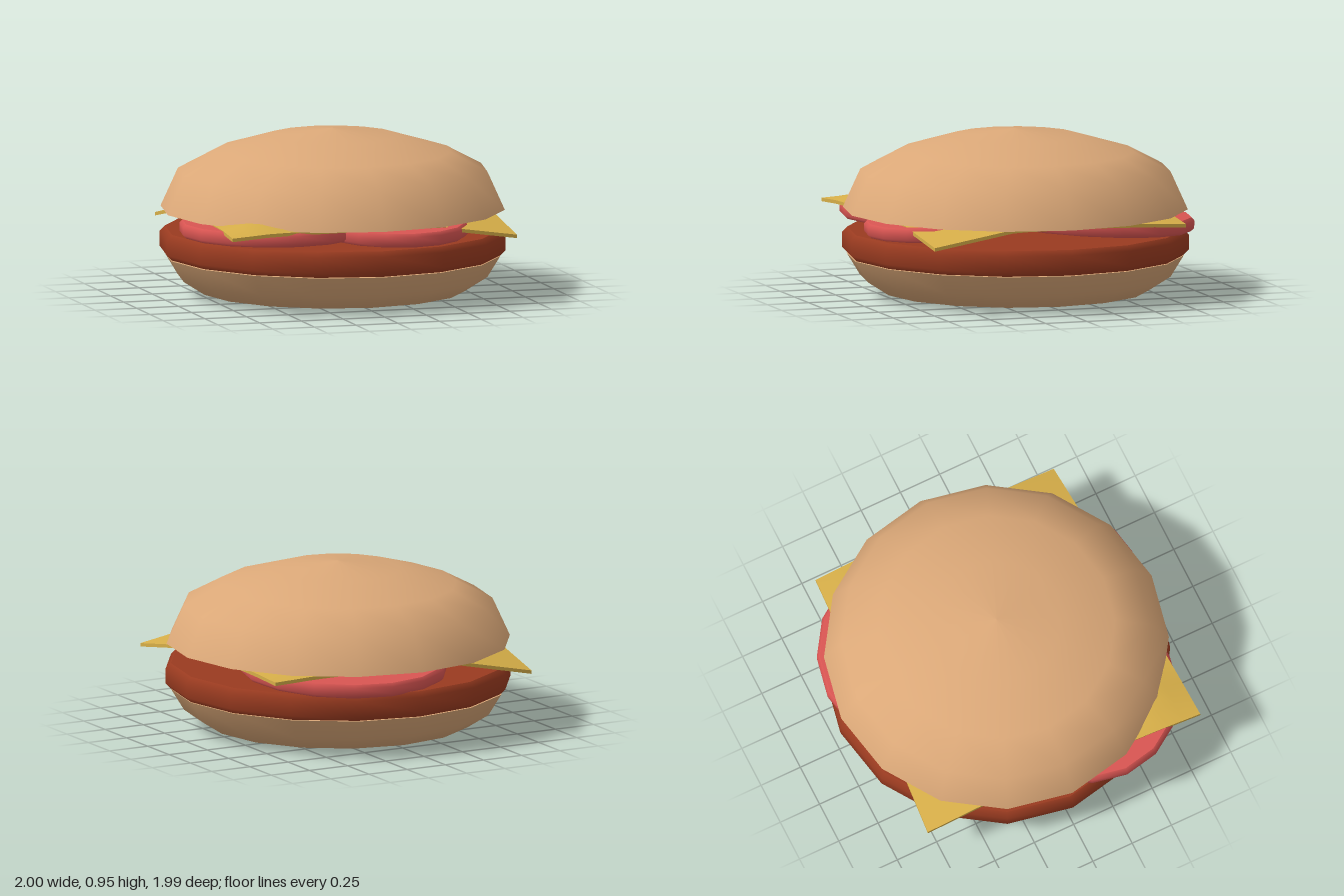
import * as THREE from 'three';
import { mergeGeometries } from 'three/addons/utils/BufferGeometryUtils.js';

const SIDES = 16;
const mat = (color, extra = {}) => new THREE.MeshStandardMaterial({ color, ...extra });
const bunMat = mat(0xdba878);
const pattyMat = mat(0x9a3b20);
const tomatoMat = mat(0xd95552);
const cheeseMat = mat(0xd6ae48);

function add(group, name, geometry, material, x = 0, y = 0, z = 0) {
  const mesh = new THREE.Mesh(geometry, material);
  mesh.name = name;
  mesh.position.set(x, y, z);
  group.add(mesh);
  return mesh;
}

// smooth turned shell, profile listed from bottom to top
const turned = (profile) =>
  new THREE.LatheGeometry(profile.map(([r, y]) => new THREE.Vector2(r, y)), SIDES);

// flat round lid facing up (dir = 1) or down (dir = -1)
function lid(radius, y, dir) {
  return new THREE.CircleGeometry(radius, SIDES).rotateX(-dir * Math.PI / 2).translate(0, y, 0);
}

// disc with bevelled rim
function disc(radius, height, bevel) {
  const h = height / 2, inner = radius - bevel;
  return mergeGeometries([
    turned([[inner, -h], [radius, -h + bevel], [radius, h - bevel], [inner, h]]),
    lid(inner, h, 1),
    lid(inner, -h, -1),
  ]);
}

// square sheet with soft drooping corners, built from a bent thin box
function cheeseGeometry() {
  // corners: position, droop at the tip, bulge just inside the tip
  const corners = [
    { u: -1, v: -1, x: -0.80, z: -0.83, drop: 0.11, bulge: 0 },
    { u: 1, v: -1, x: 0.83, z: -0.745, drop: 0.02, bulge: 0.025 },
    { u: 1, v: 1, x: 0.86, z: 0.785, drop: 0.085, bulge: 0 },
    { u: -1, v: 1, x: -0.87, z: 0.87, drop: 0.02, bulge: 0.055 },
  ];
  const geo = new THREE.BoxGeometry(2, 0.02, 2, 16, 1, 16);
  const p = geo.attributes.position;
  for (let i = 0; i < p.count; i++) {
    const u = p.getX(i), v = p.getZ(i);
    let x = 0, z = 0, y = p.getY(i);
    for (const c of corners) {
      const a = u * c.u, b = v * c.v;
      const weight = (1 + a) * (1 + b) / 4;
      x += weight * c.x;
      z += weight * c.z;
      y -= c.drop * Math.max(0, (a + b - 1.35) / 0.65);
      y += c.bulge * Math.exp(-((a - 0.72) ** 2 + (b - 0.72) ** 2) / 0.04);
    }
    p.setXYZ(i, x, y, z);
  }
  geo.computeVertexNormals();
  return geo;
}

export function createModel() {
  const group = new THREE.Group();
  group.name = 'burger';

  // bottom bun
  add(group, 'bottomBun', mergeGeometries([
    turned([[0, 0.005], [0.765, 0.025], [0.89, 0.105], [0.965, 0.228]]),
    lid(0.965, 0.228, 1),
  ]), bunMat);

  // patty
  add(group, 'patty', disc(0.993, 0.148, 0.03), pattyMat, 0.003, 0.306, 0);

  // tomato slices, two of them leaning outwards
  const slices = [
    { name: 'rightTomato', r: 0.53, x: -0.47, y: 0.449, z: 0.34, tilt: 0 },
    { name: 'backTomato', r: 0.6, x: 0.19, y: 0.445, z: -0.385, tilt: -0.06 },
    { name: 'frontTomato', r: 0.43, x: 0.2, y: 0.45, z: 0.53, tilt: 0.05 },
  ];
  for (const s of slices) {
    const mesh = add(group, s.name, disc(s.r, 0.08, 0.018), tomatoMat, s.x, s.y, s.z);
    mesh.rotation.x = s.tilt;
  }

  // cheese sheet
  add(group, 'cheese', cheeseGeometry(), cheeseMat, 0, 0.487, 0);

  // top bun
  add(group, 'topBun', mergeGeometries([
    turned([[0.988, 0.495], [0.888, 0.715], [0.68, 0.825], [0.37, 0.915], [0, 0.957]]),
    lid(0.988, 0.495, -1),
  ]), bunMat, 0.003, 0, 0);

  return group;
}
